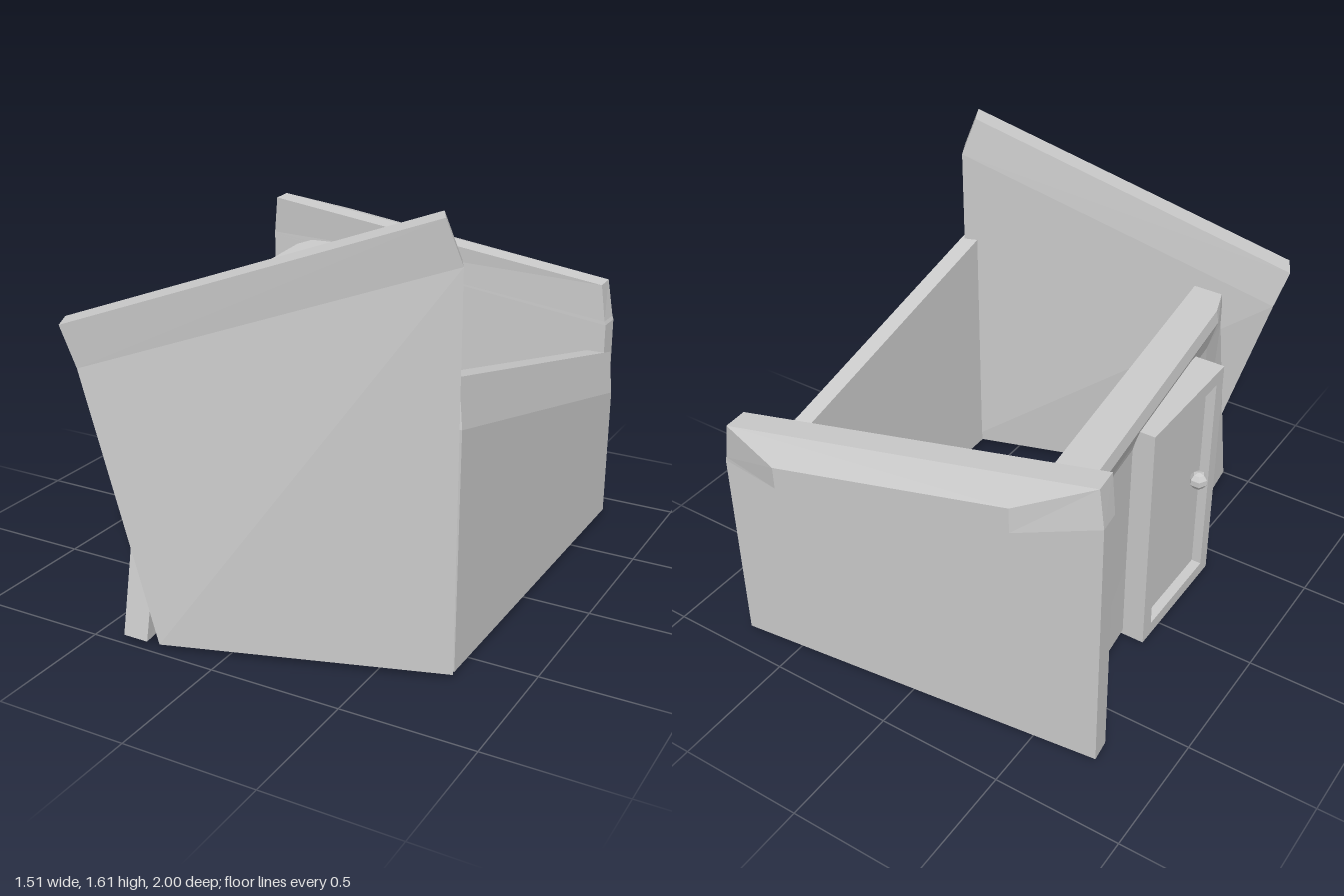
import * as THREE from 'three';

const stone = new THREE.MeshStandardMaterial({ color: 0xcccccc });
stone.name = 'light grey';
stone.flatShading = true;

// Closed solid from stacked loops, bottom to top; corners run counterclockwise seen from above.
function loft(name, loops) {
  const pos = [];
  const tri = (a, b, c) => pos.push(...a, ...b, ...c);
  const n = loops[0].length;
  for (let k = 0; k < loops.length - 1; k++) {
    const a = loops[k], b = loops[k + 1];
    for (let i = 0; i < n; i++) {
      const j = (i + 1) % n;
      tri(a[i], a[j], b[j]);
      tri(a[i], b[j], b[i]);
    }
  }
  const bottom = loops[0], top = loops[loops.length - 1];
  for (let i = 1; i < n - 1; i++) {
    tri(top[0], top[i], top[i + 1]);
    tri(bottom[0], bottom[i + 1], bottom[i]);
  }
  const g = new THREE.BufferGeometry();
  g.setAttribute('position', new THREE.Float32BufferAttribute(pos, 3));
  g.computeVertexNormals();
  return part(name, g);
}

function part(name, geometry) {
  const m = new THREE.Mesh(geometry, stone);
  m.name = name;
  return m;
}

export function createModel() {
  const model = new THREE.Group();
  model.name = 'ruinedHut';

  // Tall front wall with a slanted top and a leaning side
  model.add(loft('frontWall', [
    [[-0.235, 0.02, 0.975], [0.755, 0.02, 0.66], [0.71, 0.02, 0.575], [-0.28, 0.02, 0.89]],
    [[-0.525, 1.0, 0.975], [0.755, 1.45, 0.66], [0.71, 1.45, 0.575], [-0.57, 1.0, 0.885]],
    [[-0.57, 1.155, 1.0], [0.705, 1.605, 0.69], [0.66, 1.605, 0.605], [-0.615, 1.155, 0.91]],
  ]));

  // Low side wall, dropping towards the back
  model.add(loft('leftWall', [
    [[0.75, 0.02, 0.64], [0.75, 0.02, -0.845], [0.655, 0.02, -0.845], [0.655, 0.02, 0.64]],
    [[0.755, 0.905, 0.64], [0.755, 0.55, -0.845], [0.655, 0.55, -0.845], [0.655, 0.905, 0.64]],
    [[0.725, 1.07, 0.605], [0.725, 0.71, -0.885], [0.655, 0.71, -0.885], [0.655, 1.07, 0.605]],
  ]));

  // Door wall with a flared top and a slanted front end
  model.add(loft('doorWall', [
    [[-0.57, 0.02, -0.7], [-0.56, 0.02, -0.59], [-0.43, 0.02, 0.6],
      [-0.385, 0.02, 0.98], [-0.285, 0.02, 0.98], [-0.46, 0.02, -0.7]],
    [[-0.56, 0.91, -0.7], [-0.565, 0.91, -0.59], [-0.43, 0.91, 0.6],
      [-0.395, 0.91, 0.785], [-0.285, 0.91, 0.785], [-0.455, 0.91, -0.7]],
    [[-0.575, 1.02, -0.7], [-0.6, 1.02, -0.59], [-0.455, 1.02, 0.63],
      [-0.405, 1.02, 0.76], [-0.285, 1.02, 0.76], [-0.45, 1.02, -0.7]],
    [[-0.565, 1.07, -0.7], [-0.59, 1.07, -0.59], [-0.445, 1.07, 0.63],
      [-0.405, 1.07, 0.75], [-0.285, 1.07, 0.75], [-0.45, 1.07, -0.7]],
  ]));

  // Back wall with an overhanging lip
  model.add(loft('backWall', [
    [[0.725, 0.02, -0.905], [0.4, 0.02, -0.87], [-0.5, 0.02, -0.773],
      [-0.755, 0.02, -0.745], [-0.745, 0.02, -0.66], [0.725, 0.02, -0.81]],
    [[0.725, 0.845, -0.905], [0.4, 0.89, -0.87], [-0.5, 1.04, -0.773],
      [-0.755, 1.08, -0.745], [-0.745, 1.08, -0.66], [0.725, 0.845, -0.81]],
    [[0.72, 0.86, -0.905], [0.4, 0.92, -1.0], [-0.5, 1.07, -0.9],
      [-0.755, 1.09, -0.745], [-0.745, 1.09, -0.66], [0.72, 0.86, -0.81]],
    [[0.695, 1.01, -0.905], [0.4, 1.01, -1.0], [-0.5, 1.17, -0.9],
      [-0.735, 1.245, -0.745], [-0.725, 1.245, -0.65], [0.7, 1.01, -0.81]],
  ]));

  // Door: frame, recessed panel and faceted knob
  const door = new THREE.Group();
  door.name = 'door';
  const rect = (T, x0, y0, x1, y1) => new T([[x0, y0], [x1, y0], [x1, y1], [x0, y1]]
    .map(([x, y]) => new THREE.Vector2(x, y)));
  const outline = rect(THREE.Shape, -0.13, 0, 0.4, 1.0);
  outline.holes.push(rect(THREE.Path, -0.07, 0.055, 0.345, 0.945));
  const frame = part('doorFrame', new THREE.ExtrudeGeometry(outline, { depth: 0.12, bevelEnabled: false }));
  frame.rotation.y = -Math.PI / 2;
  frame.position.x = -0.48;
  const panel = part('doorPanel', new THREE.BoxGeometry(0.07, 0.91, 0.435));
  panel.position.set(-0.525, 0.5, 0.1375);
  const knob = part('doorKnob', new THREE.SphereGeometry(0.038, 6, 5));
  knob.position.set(-0.592, 0.535, 0.275);
  door.add(frame, panel, knob);
  model.add(door);

  return model;
}
